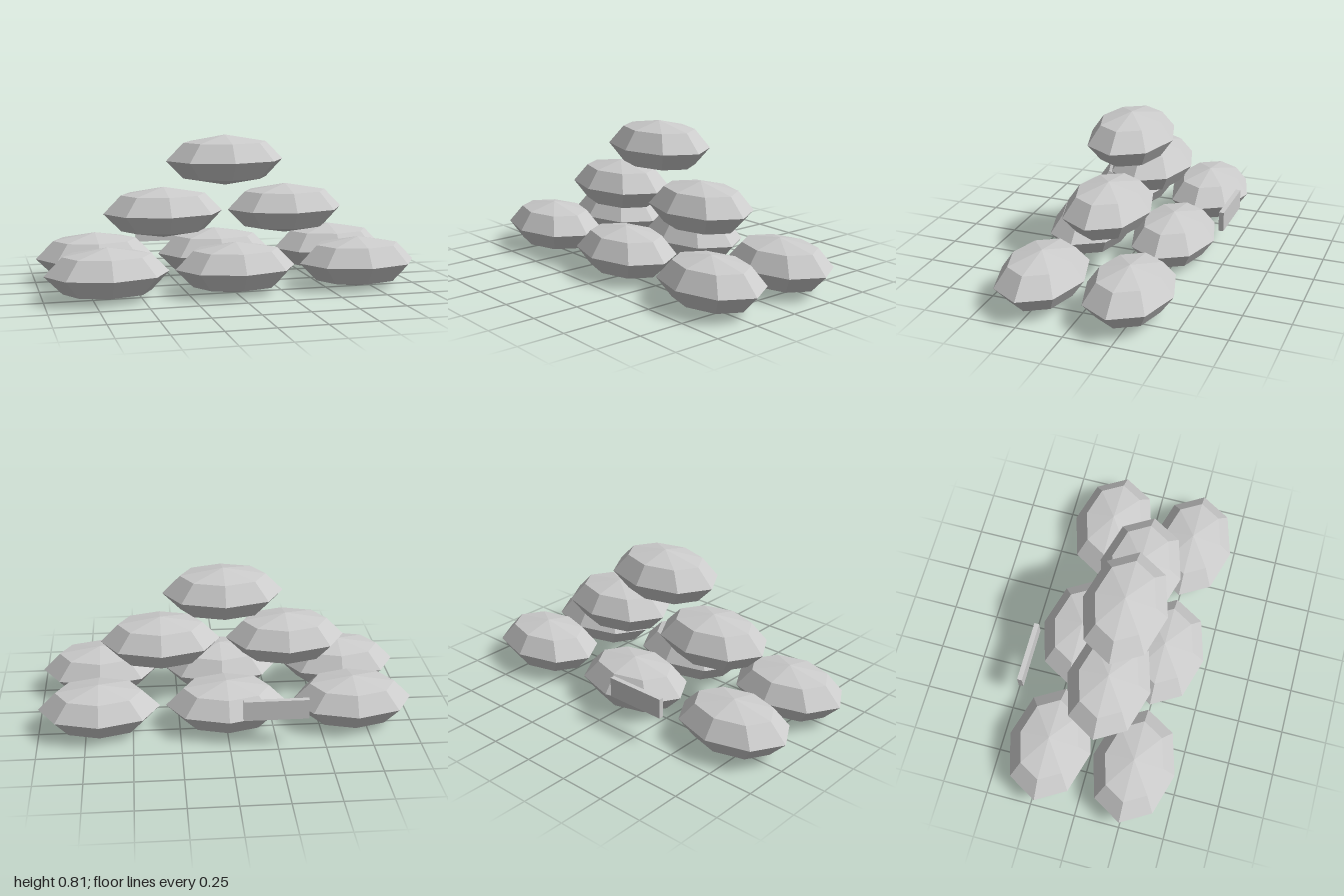
import * as THREE from 'three';

export function createModel() {
  const model = new THREE.Group();
  model.name = 'sandbagPile';
  const grey = new THREE.MeshStandardMaterial({ color: 0xcccccc, flatShading: true });
  grey.name = 'light grey';

  // One flattened, faceted bag shared by the whole stack
  const bagGeometry = new THREE.SphereGeometry(1, 8, 4).scale(0.322, 0.135, 0.228);
  const addBag = (name, x, y, z) => {
    const bag = new THREE.Mesh(bagGeometry, grey);
    bag.name = name;
    bag.position.set(x, y, z);
    model.add(bag);
  };

  // Bottom layer: two rows of three
  for (const z of [0.25, -0.222]) {
    for (const x of [-0.675, 0, 0.675]) addBag('bottomBag', x, 0.135, z);
  }
  // Middle pair and the single bag on top
  for (const x of [-0.338, 0.338]) addBag('middleBag', x, 0.406, 0.022);
  addBag('topBag', 0, 0.677, 0.022);

  // Flat tag behind the pile
  const tag = new THREE.Mesh(new THREE.BoxGeometry(0.337, 0.108, 0.027), grey);
  tag.name = 'tag';
  tag.position.set(-0.238, 0.218, -0.466);
  model.add(tag);

  return model;
}
